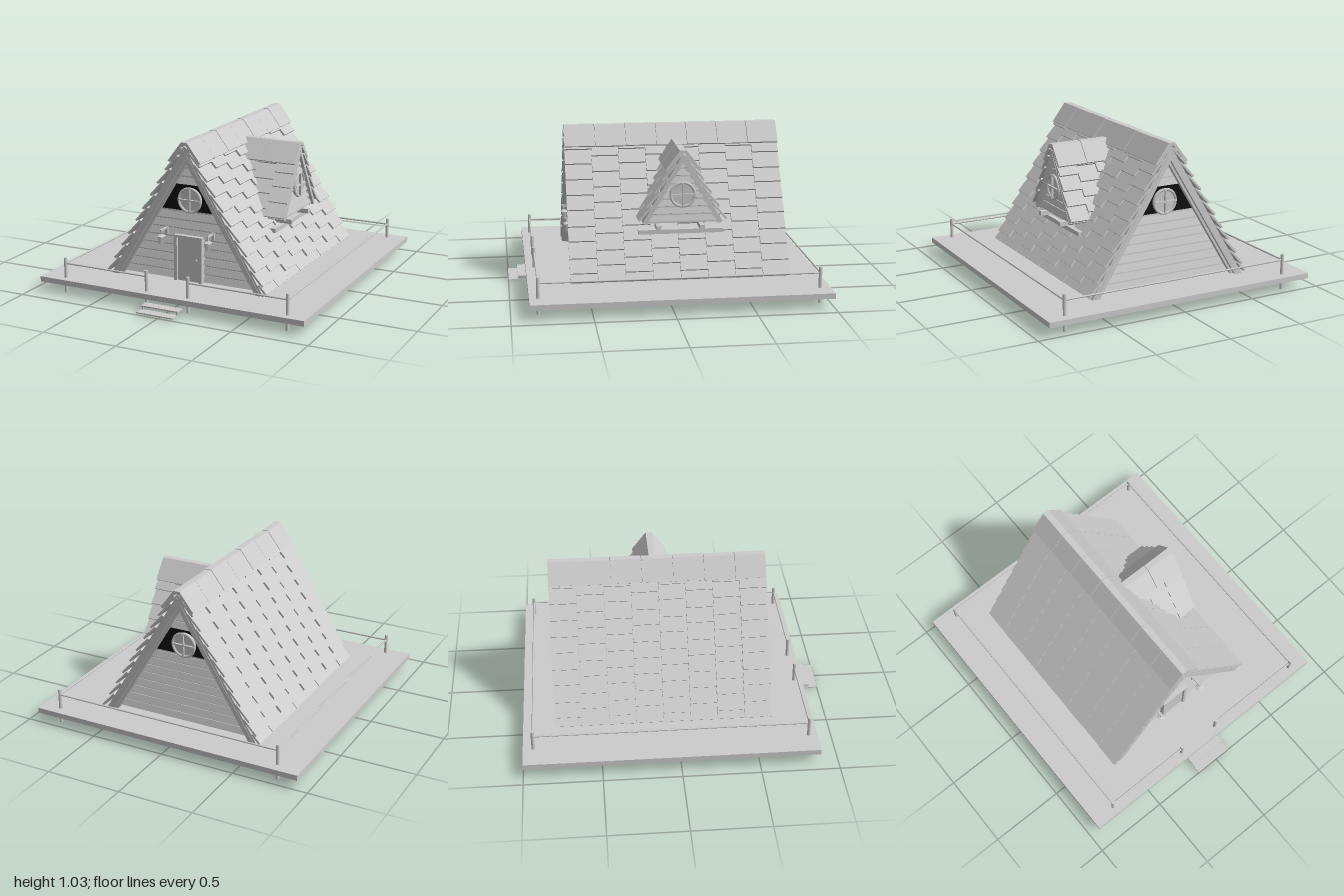
import * as THREE from 'three';

const grey = new THREE.MeshStandardMaterial({ color: 0xcccccc });
const dark = new THREE.MeshStandardMaterial({ color: 0x111111 });

function add(parent, name, geo, x = 0, y = 0, z = 0, mat = grey) {
  const m = new THREE.Mesh(geo, mat);
  m.name = name;
  m.position.set(x, y, z);
  parent.add(m);
  return m;
}
const box = (w, h, d) => new THREE.BoxGeometry(w, h, d);
function group(parent, name, x = 0, y = 0, z = 0) {
  const g = new THREE.Group();
  g.name = name;
  g.position.set(x, y, z);
  parent.add(g);
  return g;
}
function prism(points, depth) {
  const s = new THREE.Shape(points.map(p => new THREE.Vector2(p[0], p[1])));
  return new THREE.ExtrudeGeometry(s, { depth, bevelEnabled: false });
}
const jitter = (i, j) => Math.sin(i * 12.9 + j * 78.2) * 0.5;

// Thin rod between two points
function rod(parent, name, a, b, r) {
  const p = new THREE.Vector3(...a), q = new THREE.Vector3(...b);
  const m = add(parent, name, new THREE.CylinderGeometry(r, r, p.distanceTo(q), 10));
  m.position.copy(p).add(q).multiplyScalar(0.5);
  m.quaternion.setFromUnitVectors(new THREE.Vector3(0, 1, 0), q.sub(p).normalize());
}

// Steep roof: ridge along z, eaves at y = 0, half width W, height H, length D,
// rafter thickness beam, panel running on below the eaves by sink
function roof(parent, { W, H, D, cols, rows, caps, beam, sink }) {
  const L = Math.hypot(W, H), a = Math.atan2(H, W), step = L / rows, cw = D / cols;
  for (const turn of [0, Math.PI]) {
    const side = group(parent, 'roofSide');
    side.rotation.y = turn;
    const slope = group(side, 'roofSlope', 0, H, 0);
    slope.rotation.z = -a;
    add(slope, 'roofPanel', box(L + sink, 0.02, D - 0.02), (L + sink) / 2, -0.01, 0);
    for (const e of [-1, 1]) {
      add(slope, 'rafter', box(L, beam, 0.035), L / 2, -0.015 - beam / 2, e * (D / 2 - 0.025));
      add(slope, 'innerRafter', box(L - 0.03, beam * 0.67, 0.03), L / 2 + 0.015, -0.02 - beam, e * (D / 2 - 0.045));
    }
    // Staggered columns of overlapping shingles
    for (let c = 0; c < cols; c++) {
      const off = c % 2 ? step / 2 : 0;
      for (let r = 0; r <= rows; r++) {
        const end = Math.min(L, L - r * step + off + jitter(c, r) * 0.008);
        const start = Math.max(0.02, L - (r + 1) * step + off - step * 0.25);
        if (end - start < 0.02) continue;
        const s = add(slope, 'shingle', box(end - start, 0.013, cw - 0.003),
          (start + end) / 2, 0.018 + jitter(r, c) * 0.004, (c + 0.5) * cw - D / 2);
        s.rotation.z = 0.2;
      }
    }
  }
  // Folded ridge caps with a flat crown
  const half = [[0.021, 0.026], [0.115, -0.098], [0.1, -0.108], [0.014, 0.006]];
  const outline = [...half, ...half.slice().reverse().map(([x, y]) => [-x, y])];
  const len = D / caps;
  for (let i = 0; i < caps; i++) {
    add(parent, 'ridgeCap', prism(outline, len - 0.003), 0, H - (i % 2) * 0.002, i * len - D / 2);
  }
}

// Gable wall of sloping boards, optionally with a dark glazed band
function gableWall(parent, { W, H, z, pitch, from = -1, to = -1 }) {
  const h = H - 0.02, w = W * h / H;
  const strip = (y0, y1, depth) => {
    const a = w * (1 - y0 / h), b = w * (1 - y1 / h);
    return prism([[-a, 0], [a, 0], [b, y1 - y0], [-b, y1 - y0]], depth);
  };
  for (let i = 0; (i + 1) * pitch < h; i++) {
    const y = i * pitch;
    if (i >= from && i < to) {
      add(parent, 'darkGlazing', strip(y, y + pitch, 0.008), 0, y, z - 0.012, dark);
    } else {
      add(parent, 'wallBacking', strip(y, y + pitch, 0.008), 0, y, z - 0.015);
      const b = add(parent, 'wallBoard', strip(y, y + pitch * 0.8, 0.016), 0, y, z);
      b.rotation.x = -0.28;
    }
  }
}

function roundWindow(parent, y, z) {
  const g = group(parent, 'roundWindow', 0, y, z);
  const pane = add(g, 'windowPane', new THREE.CylinderGeometry(0.078, 0.078, 0.02, 32));
  pane.rotation.x = Math.PI / 2;
  add(g, 'windowRing', new THREE.TorusGeometry(0.077, 0.009, 8, 32), 0, 0, 0.01);
  add(g, 'windowBar', box(0.15, 0.01, 0.02), 0, 0, 0.014);
  add(g, 'windowBar', box(0.01, 0.15, 0.02), 0, 0, 0.014);
}

export function createModel() {
  const model = new THREE.Group();
  model.name = 'aFrameCabin';

  // Deck and steps
  add(model, 'deck', box(1.858, 0.035, 1.886), -0.003, 0.0825, -0.057);
  add(model, 'upperStep', box(0.26, 0.008, 0.065), -0.024, 0.038, 0.907);
  add(model, 'lowerStep', box(0.26, 0.008, 0.065), -0.024, 0.014, 0.967);
  for (const x of [-0.14, 0.1]) add(model, 'stepSupport', box(0.008, 0.026, 0.008), x, 0.026, 0.936);

  // Railing posts and rails
  const xL = -0.771, xR = 0.795, zF = 0.83, zB = -0.933;
  const posts = [[-0.172, zF], [xL, zF], [xL, zB], [xR, zB], [xR, zF], [0.122, zF]];
  posts.forEach(([x, z], i) => {
    rod(model, 'railPost', [x, 0, z], [x, 0.235, z], 0.011);
    if (i) rod(model, 'rail', [posts[i - 1][0], 0.197, posts[i - 1][1]], [x, 0.197, z], 0.006);
  });

  // Main house
  const main = { W: 0.545, H: 0.9, D: 1.415, cols: 8, rows: 10, caps: 7, beam: 0.03, sink: 0.03 };
  const house = group(model, 'house', -0.013, 0.1, -0.089);
  roof(house, main);
  for (const turn of [0, Math.PI]) {
    const end = group(house, turn ? 'backGable' : 'frontGable');
    end.rotation.y = turn;
    gableWall(end, { ...main, z: 0.612, pitch: 0.0575, from: 8, to: 11 });
    roundWindow(end, 0.537, 0.622);
  }

  // Door
  const door = group(house, 'door', -0.006, 0, 0.63);
  add(door, 'doorLeaf', box(0.16, 0.295, 0.02), 0, 0.1475, 0);
  for (const s of [-1, 1]) add(door, 'doorJamb', box(0.022, 0.3, 0.05), s * 0.089, 0.15, 0);
  add(door, 'doorLintel', box(0.2, 0.016, 0.05), 0, 0.297, 0);
  add(door, 'doorKnob', new THREE.SphereGeometry(0.008, 12, 8), 0.058, 0.15, 0.016);

  // Wall lanterns
  for (const s of [-1, 1]) {
    const lamp = group(house, 'lantern', s * 0.167 - 0.004, 0.3, 0.7);
    add(lamp, 'lampPlate', box(0.02, 0.05, 0.012), 0, 0.02, -0.072);
    add(lamp, 'lampArm', box(0.012, 0.012, 0.085), 0, 0.036, -0.035);
    add(lamp, 'lampHanger', box(0.008, 0.04, 0.008), 0, 0.022, 0);
    const body = group(lamp, 'lampShade');
    body.rotation.y = Math.PI / 4;
    add(body, 'lampRoof', new THREE.CylinderGeometry(0.012, 0.032, 0.012, 4), 0, 0.004, 0);
    add(body, 'lampBody', new THREE.CylinderGeometry(0.026, 0.016, 0.052, 4), 0, -0.027, 0);
  }

  // Dormer facing +x
  const small = { W: 0.257, H: 0.442, D: 0.408, cols: 3, rows: 5, caps: 2, beam: 0.012, sink: 0 };
  const dormer = group(model, 'dormer', 0.271, 0.465, -0.11);
  dormer.rotation.y = Math.PI / 2;
  roof(dormer, small);
  gableWall(dormer, { ...small, z: 0.165, pitch: 0.05 });
  roundWindow(dormer, 0.18, 0.178);
  add(dormer, 'dormerFloor', box(0.49, 0.012, 0.3), 0, 0, 0.03);

  // Timbers under the dormer
  for (const z of [0.045, -0.235]) add(model, 'dormerJoist', box(0.2, 0.03, 0.03), 0.38, 0.432, z);
  add(model, 'dormerBeam', box(0.044, 0.028, 0.55), 0.394, 0.392, -0.105);

  return model;
}
